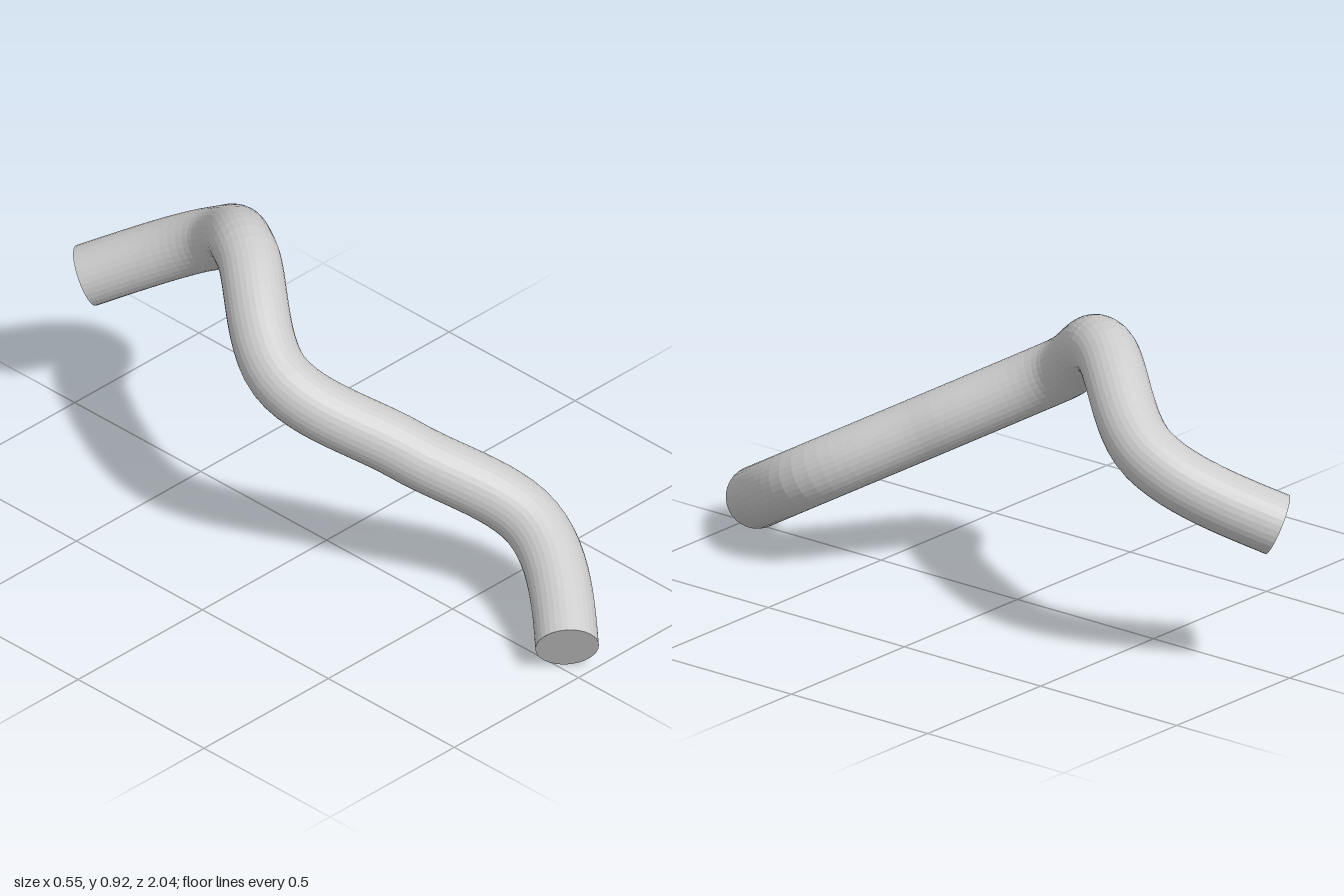
import * as THREE from 'three';

const RADIUS = 0.09;
const SIDES = 32;
const STEPS = 72;

// Evenly spaced knots of the winding centre line
const KNOTS = [
  [0, 0.086, 0.955], [0.185, 0.271, 0.637], [0, 0.456, 0.318], [-0.185, 0.642, 0],
  [0, 0.83, -0.318], [0.185, 0.642, -0.637], [0, 0.456, -0.955],
].map((p) => new THREE.Vector3(...p));

// Smooth path through the knots, uncurling to zero curvature at both ends
function makePath() {
  const last = KNOTS.length - 1;
  const tangents = KNOTS.map((p, i) =>
    KNOTS[Math.min(i + 1, last)].clone().sub(KNOTS[Math.max(i - 1, 0)]).multiplyScalar(0.5));
  tangents[0].multiplyScalar(3).addScaledVector(tangents[1], -0.5);
  tangents[last].multiplyScalar(3).addScaledVector(tangents[last - 1], -0.5);

  const path = new THREE.CurvePath();
  for (let i = 0; i < last; i++) {
    path.add(new THREE.CubicBezierCurve3(
      KNOTS[i],
      KNOTS[i].clone().addScaledVector(tangents[i], 1 / 3),
      KNOTS[i + 1].clone().addScaledVector(tangents[i + 1], -1 / 3),
      KNOTS[i + 1],
    ));
  }
  return path;
}

export function createModel() {
  const group = new THREE.Group();
  group.name = 'bentRod';
  const material = new THREE.MeshStandardMaterial({ color: 0xcccccc, flatShading: true });
  const path = makePath();

  // Round rod swept along the path
  const rod = new THREE.Mesh(new THREE.TubeGeometry(path, STEPS, RADIUS, SIDES, false), material);
  rod.name = 'rod';
  group.add(rod);

  // Flat discs closing both ends, facing outward
  for (const [name, t, sign] of [['frontCap', 0, -1], ['backCap', 1, 1]]) {
    const cap = new THREE.Mesh(new THREE.CircleGeometry(RADIUS, SIDES), material);
    cap.name = name;
    cap.position.copy(path.getPointAt(t));
    const outward = path.getTangentAt(t).multiplyScalar(sign);
    cap.quaternion.setFromUnitVectors(new THREE.Vector3(0, 0, 1), outward);
    group.add(cap);
  }
  return group;
}
